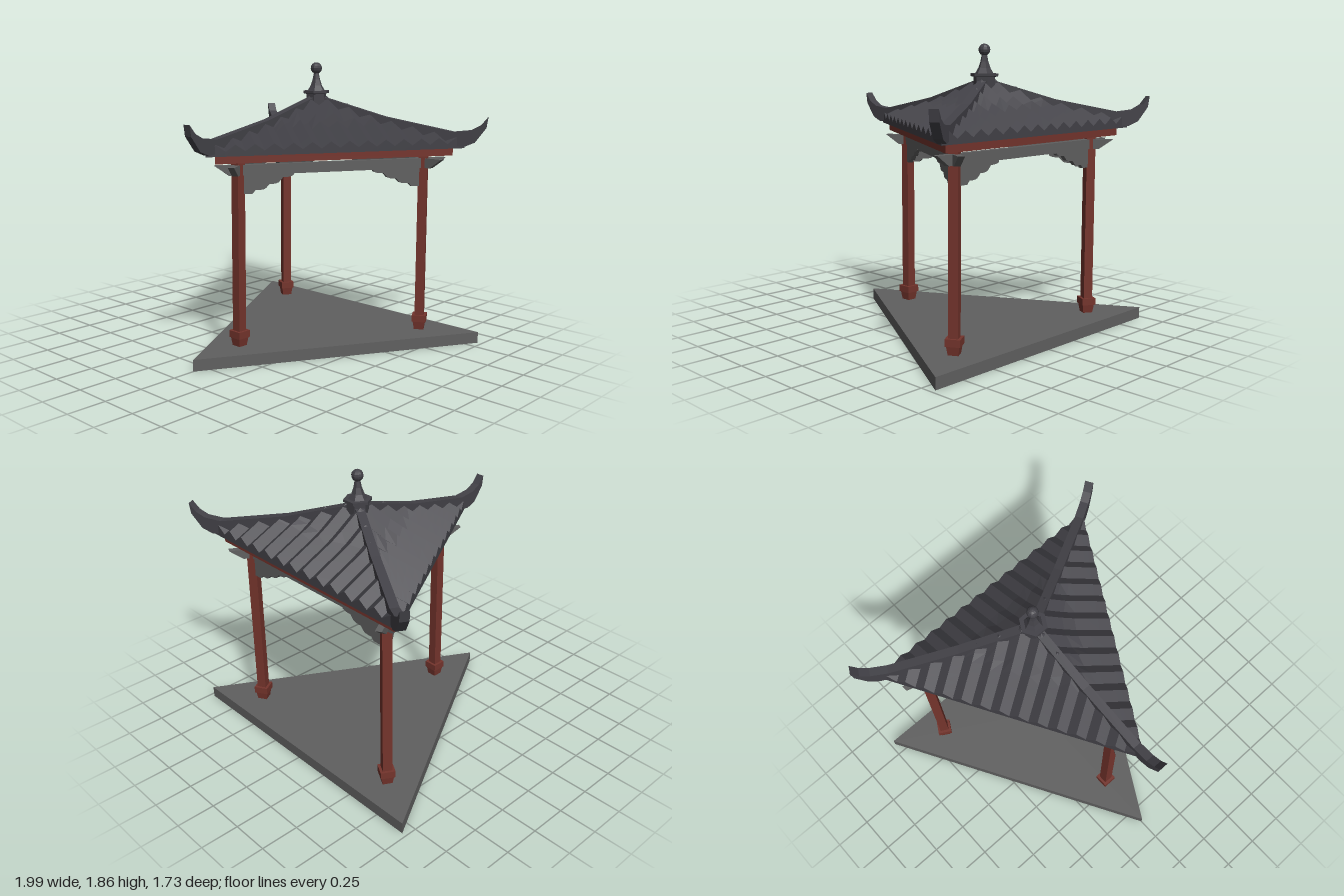
import * as THREE from 'three';

const mat = (name, color) => new THREE.MeshStandardMaterial({ name, color, flatShading: true });

export function createModel() {
  const stone = mat('stone grey', 0x606060);
  const red = mat('red timber', 0x74342c);
  const tile = mat('dark roof tile', 0x424147);

  const model = new THREE.Group();
  model.name = 'triangularPavilion';
  const centre = new THREE.Group();
  centre.name = 'pavilion';
  centre.position.z = -0.27;
  model.add(centre);

  const add = (parent, name, geo, material, x = 0, y = 0, z = 0) => {
    const m = new THREE.Mesh(geo, material);
    m.name = name;
    m.position.set(x, y, z);
    parent.add(m);
    return m;
  };
  const shapeOf = (pts) => new THREE.Shape(pts.map(([x, y]) => new THREE.Vector2(x, y)));
  const extrude = (shape, depth) =>
    new THREE.ExtrudeGeometry(shape, { depth, bevelEnabled: false, curveSegments: 4 });

  // Floor slab
  add(centre, 'floorSlab', new THREE.CylinderGeometry(1.12, 1.12, 0.075, 3), stone, 0, 0.0375, 0);

  // Timber ring under the eaves
  const tri = (r) => [[0, r], [-r * 0.866, -r / 2], [r * 0.866, -r / 2]];
  const ring = shapeOf(tri(0.915));
  ring.holes.push(shapeOf(tri(0.735)));
  add(centre, 'eaveBeam', extrude(ring, 0.05).rotateX(Math.PI / 2), red, 0, 1.315, 0);

  // Corner parts: column on a pedestal, and hip ridge with an upturned tip
  const hipShape = shapeOf([
    [0.05, 1.635], [0.47, 1.51], [0.92, 1.42], [1.03, 1.432], [1.09, 1.465], [1.135, 1.52],
    [1.125, 1.45], [1.055, 1.355], [0.985, 1.325], [0.92, 1.335], [0.47, 1.43], [0.05, 1.56],
  ]);
  const hipGeo = extrude(hipShape, 0.056).rotateY(-Math.PI / 2).translate(0.028, 0, 0);
  const footGeo = new THREE.CylinderGeometry(0.04 * Math.SQRT2, 0.032 * Math.SQRT2, 0.055, 4)
    .rotateY(Math.PI / 4);
  const columnGeo = new THREE.BoxGeometry(0.06, 1.1, 0.06);
  const collarGeo = new THREE.BoxGeometry(0.094, 0.045, 0.094);

  // Side parts: cross beam with slanted ends and scalloped brackets
  const beamGeo = extrude(
    shapeOf([[-0.78, 1.245], [0.78, 1.245], [0.69, 1.18], [-0.69, 1.18]]), 0.04,
  ).translate(0, 0, -0.02);
  const bracketGeo = (s) => {
    const shape = new THREE.Shape();
    const at = (u) => s * (0.61 - u);
    const steps = [[0.07, 1.06], [0.16, 1.095], [0.25, 1.135], [0.34, 1.172]];
    shape.moveTo(at(0), 1.18);
    shape.lineTo(at(0), 1.06);
    shape.lineTo(at(0.07), 1.06);
    for (let i = 1; i < steps.length; i++) {
      const [u, y] = steps[i];
      const [pu, py] = steps[i - 1];
      shape.lineTo(at(pu + 0.02), py + 0.022);
      shape.quadraticCurveTo(at(u - 0.01), py + 0.02, at(u), y);
    }
    shape.lineTo(at(0.34), 1.18);
    return extrude(shape, 0.03).translate(0, 0, -0.015);
  };
  const roofGeo = roofFace();

  for (let k = 0; k < 3; k++) {
    const corner = new THREE.Group();
    corner.name = 'corner' + (k + 1);
    corner.rotation.y = (k * 2 * Math.PI) / 3;
    centre.add(corner);
    add(corner, 'columnFoot', footGeo, red, 0, 0.1025, 0.725);
    add(corner, 'columnCollar', collarGeo, red, 0, 0.1525, 0.725);
    add(corner, 'column', columnGeo, red, 0, 0.72, 0.725);
    add(corner, 'hipRidge', hipGeo, tile);

    const side = new THREE.Group();
    side.name = 'side' + (k + 1);
    side.rotation.y = Math.PI + (k * 2 * Math.PI) / 3;
    centre.add(side);
    add(side, 'crossBeam', beamGeo, stone, 0, 0, 0.3625);
    for (const s of [-1, 1]) add(side, 'scallopedBracket', bracketGeo(s), stone, 0, 0, 0.3625);
    add(side, 'roofTiles', roofGeo, tile);
  }

  // Six-sided finial with a ball on top
  const finial = new THREE.LatheGeometry([
    [0, 1.57], [0.07, 1.57], [0.07, 1.655], [0.09, 1.66], [0.09, 1.677], [0.06, 1.677],
    [0.04, 1.71], [0.026, 1.75], [0.016, 1.8], [0, 1.8],
  ].map(([x, y]) => new THREE.Vector2(x, y)), 6).rotateY(Math.PI / 6);
  add(centre, 'finial', finial, tile);
  add(centre, 'finialBall', new THREE.SphereGeometry(0.038, 10, 8), tile, 0, 1.825, 0);

  return model;
}

// One corrugated roof slope facing +z: folded top, eave edge and plain underside
function roofFace() {
  const eave = 0.495, top = 0.035, lines = 14, steps = 6, fold = 0.042;
  const pitch = (eave * Math.sqrt(3)) / lines;
  const height = (d) => (d < 0.235
    ? THREE.MathUtils.mapLinear(d, top, 0.235, 1.6, 1.465)
    : THREE.MathUtils.mapLinear(d, 0.235, eave, 1.465, 1.345));
  const pos = [], index = [];
  const rows = 2 * (steps + 1);
  for (let k = -lines; k <= lines; k++) {
    const t = k * pitch;
    const start = Math.max(Math.abs(t) / Math.sqrt(3), top);
    const rise = k % 2 ? fold : 0;
    for (let r = 0; r < rows; r++) {
      const under = r > steps;
      const f = under ? rows - 1 - r : r;
      const d = start + ((eave - start) * f) / steps;
      pos.push(t, height(d) + (under ? -0.03 : rise), d);
    }
  }
  for (let k = 0; k < 2 * lines; k++) {
    for (let r = 0; r < rows - 1; r++) {
      const a = k * rows + r, c = a + rows;
      index.push(a, a + 1, c, a + 1, c + 1, c);
    }
  }
  const geo = new THREE.BufferGeometry();
  geo.setAttribute('position', new THREE.Float32BufferAttribute(pos, 3));
  geo.setIndex(index);
  geo.computeVertexNormals();
  return geo;
}
